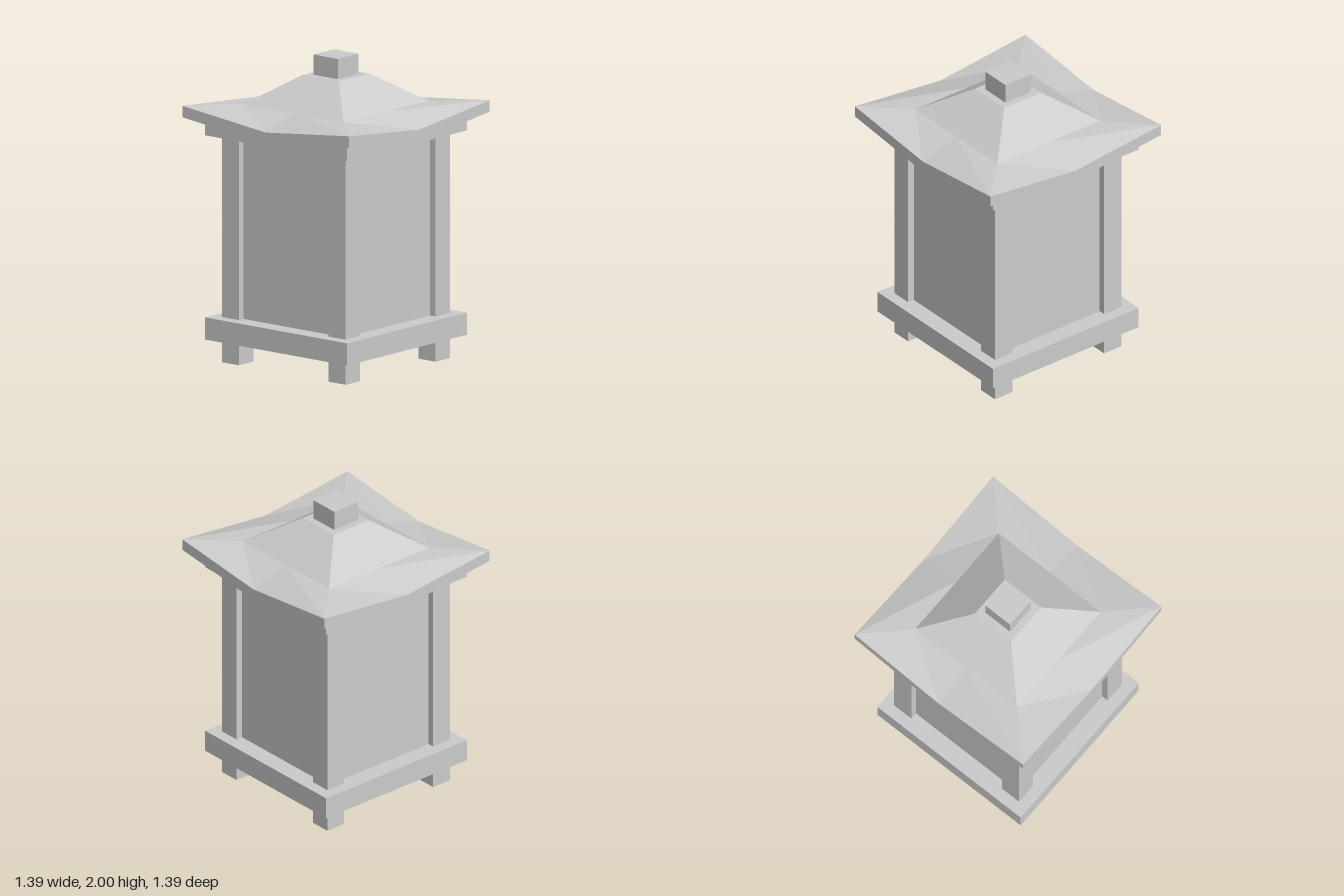
import * as THREE from 'three';

const material = new THREE.MeshStandardMaterial({ color: 0xcccccc, flatShading: true });

// Square-plan box between two heights
function block(name, width, y0, y1, x = 0, z = 0) {
  const mesh = new THREE.Mesh(new THREE.BoxGeometry(width, y1 - y0, width), material);
  mesh.name = name;
  mesh.position.set(x, (y0 + y1) / 2, z);
  return mesh;
}

// Square ring of eight points: edge middles alternate with corners
function squareRing({ half, mid, corner }) {
  const plan = [[0, 1], [1, 1], [1, 0], [1, -1], [0, -1], [-1, -1], [-1, 0], [-1, 1]];
  return plan.map(([x, z], i) => [x * half, i % 2 ? corner : mid, z * half]);
}

// Skin of a stack of rings, listed from the underside outward and up to the top
function skinRings(sections) {
  const rings = sections.map(squareRing);
  const positions = [];
  for (let r = 0; r < rings.length - 1; r++) {
    for (let i = 0; i < 8; i++) {
      const j = (i + 1) % 8;
      const a = rings[r][i], b = rings[r][j];
      const c = rings[r + 1][j], d = rings[r + 1][i];
      positions.push(...a, ...b, ...d, ...b, ...c, ...d);
    }
  }
  const geometry = new THREE.BufferGeometry();
  geometry.setAttribute('position', new THREE.Float32BufferAttribute(positions, 3));
  geometry.computeVertexNormals();
  return geometry;
}

export function createModel() {
  const model = new THREE.Group();
  model.name = 'lantern';

  // Base slab, recessed walls and the plate under the roof
  model.add(block('baseSlab', 1.185, 0.15, 0.295));
  model.add(block('walls', 0.94, 0.295, 1.485));
  model.add(block('topPlate', 1.185, 1.485, 1.605));

  // Feet and corner posts
  for (const x of [-0.445, 0.445]) {
    for (const z of [-0.445, 0.445]) {
      model.add(block('foot', 0.142, 0, 0.15, x, z));
      model.add(block('cornerPost', 0.142, 0.295, 1.485, x, z));
    }
  }

  // Roof with upturned corners and a steeper hipped crown
  const roof = new THREE.Mesh(skinRings([
    { half: 0.42, mid: 1.61, corner: 1.61 },
    { half: 0.695, mid: 1.53, corner: 1.605 },
    { half: 0.695, mid: 1.605, corner: 1.68 },
    { half: 0.42, mid: 1.685, corner: 1.685 },
    { half: 0.15, mid: 1.868, corner: 1.868 },
    { half: 0.05, mid: 1.868, corner: 1.868 },
  ]), material);
  roof.name = 'roof';
  model.add(roof);

  // Cap block
  model.add(block('finial', 0.205, 1.86, 2));

  return model;
}
